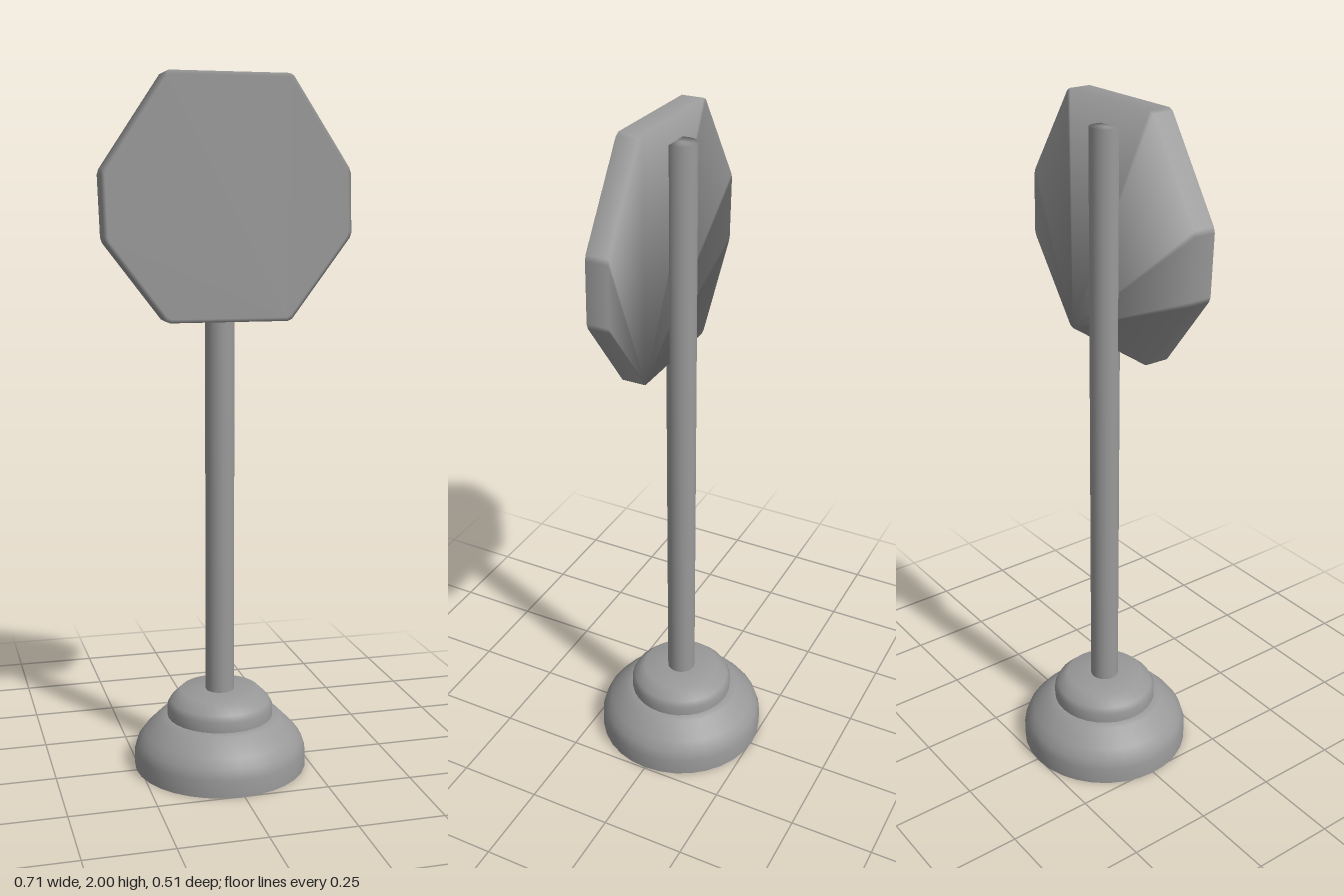
import * as THREE from 'three';

// Octagonal plate: cut corners, soft front rim, normals running smoothly over the edges
function plateGeometry(corners, back, front, cut, rim) {
  const outline = [];
  corners.forEach((corner, i) => {
    const prev = corners[(i + corners.length - 1) % corners.length];
    const next = corners[(i + 1) % corners.length];
    const dirIn = corner.clone().sub(prev).normalize();
    const dirOut = next.clone().sub(corner).normalize();
    outline.push({ p: corner.clone().addScaledVector(dirIn, -cut), n: new THREE.Vector2(dirIn.y, -dirIn.x) });
    outline.push({ p: corner.clone().addScaledVector(dirOut, cut), n: new THREE.Vector2(dirOut.y, -dirOut.x) });
  });

  // Rings from back to front: depth, scale, weight of the edge normal, z of the normal
  const rings = [
    [back, 1, 1, -0.5],
    [front - rim, 1, 1, 0],
    [front, 0.97, 0, 1],
  ];
  const midY = 1.66, count = outline.length;
  const positions = [], normals = [], index = [];
  for (const [z, scale, weight, nz] of rings) {
    for (const { p, n } of outline) {
      positions.push(p.x * scale, midY + (p.y - midY) * scale, z);
      normals.push(...new THREE.Vector3(n.x * weight, n.y * weight, nz).normalize().toArray());
    }
  }
  for (let r = 0; r < rings.length - 1; r++) {
    for (let j = 0; j < count; j++) {
      const a = r * count + j, b = r * count + (j + 1) % count;
      index.push(a, b, b + count, a, b + count, a + count);
    }
  }
  const face = (rings.length - 1) * count;
  for (let j = 1; j < count - 1; j++) {
    index.push(0, j + 1, j, face, face + j, face + j + 1);
  }

  const geometry = new THREE.BufferGeometry();
  geometry.setAttribute('position', new THREE.Float32BufferAttribute(positions, 3));
  geometry.setAttribute('normal', new THREE.Float32BufferAttribute(normals, 3));
  geometry.setIndex(index);
  return geometry;
}

export function createModel() {
  const group = new THREE.Group();
  const material = new THREE.MeshStandardMaterial({ color: 0x999999, side: THREE.DoubleSide });

  const add = (name, geometry) => {
    const mesh = new THREE.Mesh(geometry, material);
    mesh.name = name;
    group.add(mesh);
    return mesh;
  };

  // Smooth shell revolved around the pole axis
  const turned = (name, profile) => {
    const points = profile.map(([r, y]) => new THREE.Vector2(r, y));
    add(name, new THREE.LatheGeometry(points, 32)).position.x = -0.008;
  };

  // Hollow stepped base, open underneath
  turned('lowerBase', [[0.254, 0], [0.254, 0.05], [0.244, 0.08], [0.225, 0.105], [0.18, 0.15], [0.15, 0.153]]);
  turned('upperBase', [[0.156, 0.152], [0.156, 0.183], [0.147, 0.2], [0.116, 0.23], [0.04, 0.231]]);

  // Pole with softly shaded top
  turned('pole', [[0.042, 0.22], [0.042, 1.934], [0, 1.934]]);

  // Slightly irregular eight-sided sign plate
  const corners = [
    [0.177, 1.325], [0.354, 1.562], [0.349, 1.742], [0.177, 2],
    [-0.177, 2], [-0.356, 1.734], [-0.349, 1.549], [-0.177, 1.325],
  ].map(([x, y]) => new THREE.Vector2(x, y));
  add('signPlate', plateGeometry(corners, 0.017, 0.086, 0.008, 0.006));

  return group;
}
